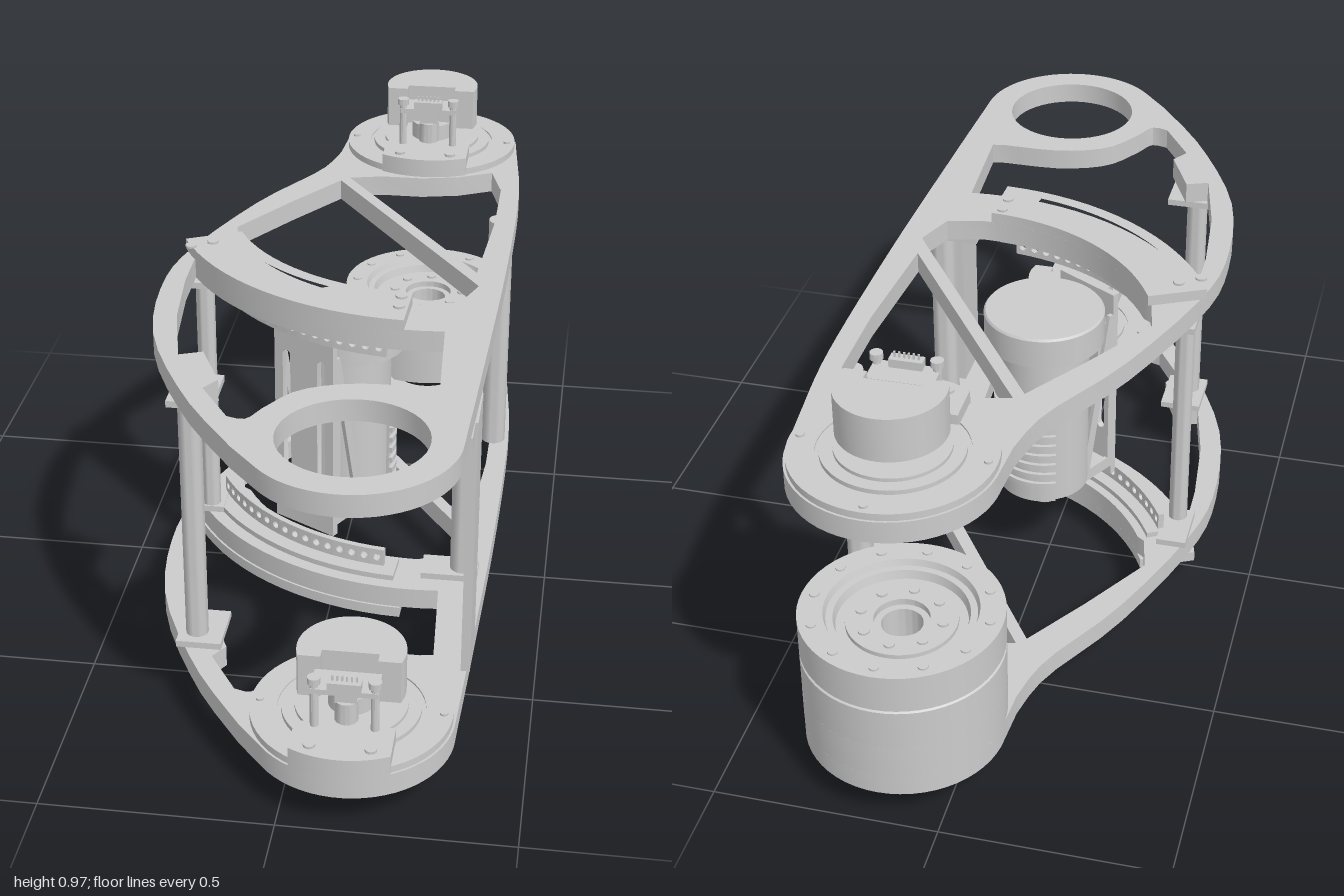
import * as THREE from 'three';
import { toCreasedNormals } from 'three/addons/utils/BufferGeometryUtils.js';

const material = new THREE.MeshStandardMaterial({ color: 0xcccccc });
const rad = THREE.MathUtils.degToRad;
const MID = 0.4575;                      // height of the mirror plane between the plates
const ARC = { x: 0.2, z: -0.33 };        // centre of the curved cross band
const BOSS = { x: 0.13, z: 0.78 };       // end bosses lie at +z and -z

function add(parent, name, geometry, x = 0, y = 0, z = 0) {
  const mesh = new THREE.Mesh(toCreasedNormals(geometry, 0.6), material);
  mesh.name = name;
  mesh.position.set(x, y, z);
  parent.add(mesh);
  return mesh;
}
const box = (p, name, w, h, d, x, y, z) => add(p, name, new THREE.BoxGeometry(w, h, d), x, y, z);
const rod = (p, name, r, y0, y1, x, z, sides = 32) =>
  add(p, name, new THREE.CylinderGeometry(r, r, y1 - y0, sides), x, (y0 + y1) / 2, z);
const lathe = (p, name, pts, x, y, z) =>
  add(p, name, new THREE.LatheGeometry(pts.map(q => new THREE.Vector2(...q)), 56), x, y, z);

// plan outline (x, z) raised from y0 to y1
function slab(p, name, shape, y0, y1, x = 0, z = 0) {
  const g = new THREE.ExtrudeGeometry(shape, { depth: y1 - y0, bevelEnabled: false, curveSegments: 32 });
  g.rotateX(Math.PI / 2);
  return add(p, name, g, x, y1, z);
}
// points on a circle in plan, angles in degrees from +x toward +z
function arc(cx, cz, r, a0, a1, n = 16) {
  return Array.from({ length: n + 1 }, (_, i) => {
    const a = rad(a0 + (a1 - a0) * i / n);
    return [cx + r * Math.cos(a), cz + r * Math.sin(a)];
  });
}
const vecs = pts => pts.map(q => new THREE.Vector2(...q));
const smooth = (pts, n = 24) => new THREE.SplineCurve(vecs(pts)).getPoints(n).map(v => [v.x, v.y]);
const shapeOf = (pts, holes = []) => {
  const s = new THREE.Shape(vecs(pts));
  s.holes = holes.map(h => new THREE.Path(vecs(h)));
  return s;
};
const band = (r0, r1, a0, a1) => [...arc(ARC.x, ARC.z, r0, a0, a1), ...arc(ARC.x, ARC.z, r1, a1, a0)];

// open frame plate with curved band and diagonal strut
function plate(p, name, y0, y1, rearHole) {
  const outline = [
    ...arc(BOSS.x, -BOSS.z, 0.22, -180, 0, 28),
    ...smooth([[0.36, -0.68], [0.377, -0.45], [0.375, 0], [0.36, 0.5], [0.352, 0.72]]),
    ...arc(BOSS.x, BOSS.z, 0.22, 0, 140, 24),
    ...smooth([[-0.1, 0.85], [-0.23, 0.66], [-0.35, 0.4], [-0.385, 0.15], [-0.36, -0.05],
      [-0.25, -0.35], [-0.13, -0.57], [-0.095, -0.7]]),
  ];
  const mainOpening = [[-0.07, -0.51], [-0.17, -0.36], [-0.275, -0.19], [-0.255, -0.1],
    ...arc(ARC.x, ARC.z, 0.5, 151, 90), [0.285, 0.15], [0.32, 0.06], [0.297, 0.025]];
  const rearOpening = [[-0.05, -0.53], [0.31, -0.01], [0.33, -0.3], [0.33, -0.5], [0.3, -0.61],
    [0.22, -0.57], [0.13, -0.55], [0.03, -0.55]];
  const frontOpening = [...arc(ARC.x, ARC.z, 0.63, 149, 84), [0.28, 0.55],
    ...smooth([[0.25, 0.555], [0.11, 0.558], [0, 0.6], [-0.06, 0.68], [-0.09, 0.735], [-0.13, 0.73]], 16),
    [-0.2, 0.62], [-0.175, 0.58], [-0.23, 0.46], [-0.28, 0.48], [-0.32, 0.3], [-0.338, 0.12]];
  slab(p, name, shapeOf(outline, [mainOpening, rearOpening, frontOpening,
    arc(BOSS.x, BOSS.z, 0.155, 0, 360, 48), arc(BOSS.x, -BOSS.z, rearHole, 0, 360, 48)]), y0, y1);
}

// bearing flange, shaft, cut-away cap and sensor board; origin on the plate top
function encoder(parent, name, y, z) {
  const g = new THREE.Group();
  g.name = name;
  g.position.set(BOSS.x, y, z);
  parent.add(g);
  lathe(g, 'flange', [[0, 0], [0.215, 0], [0.215, 0.016], [0.157, 0.016], [0.157, 0.012],
    [0.148, 0.012], [0.148, 0.022], [0.12, 0.022], [0.12, 0.03], [0, 0.03]], 0, 0, 0);
  lathe(g, 'bearingRing', [[0.09, -0.065], [0.14, -0.065], [0.14, 0], [0.09, 0], [0.09, -0.065]], 0, 0, 0);
  rod(g, 'shaft', 0.025, -0.135, 0.07, 0, 0);
  rod(g, 'stem', 0.05, 0.02, 0.07, 0, 0);
  const a = THREE.MathUtils.radToDeg(Math.acos(0.105 / 0.22));
  slab(g, 'mountingBlock', shapeOf([[0.105, 0.1], ...arc(0, 0, 0.22, a, 180 - a), [-0.105, 0.1]]), 0, 0.045);
  const b = THREE.MathUtils.radToDeg(Math.asin(0.04 / 0.115));
  slab(g, 'cap', shapeOf([...arc(0, 0, 0.115, 180 - b, 360 + b, 40), [0.06, 0.04], [0.06, 0.015],
    [-0.06, 0.015], [-0.06, 0.04]]), 0.065, 0.165);
  box(g, 'sensorBoard', 0.14, 0.012, 0.07, 0, 0.135, 0.085);
  box(g, 'connector', 0.07, 0.02, 0.025, 0, 0.15, 0.11);
  box(g, 'sensor', 0.045, 0.035, 0.03, 0, 0.11, 0.08);
  rod(g, 'magnetHolder', 0.025, 0.045, 0.095, 0, 0.08, 16);
  for (let i = 0; i < 6; i++) box(g, 'pin', 0.004, 0.015, 0.004, -0.025 + i * 0.01, 0.165, 0.11);
  for (const s of [-1, 1]) {
    rod(g, 'boardPost', 0.009, 0.04, 0.15, s * 0.063, 0.11, 12);
    rod(g, 'boardScrew', 0.014, 0.15, 0.165, s * 0.063, 0.11, 12);
    rod(g, 'blockScrew', 0.013, 0.045, 0.051, s * 0.063, 0.18, 12);
    rod(g, 'flangeScrew', 0.009, 0.016, 0.021, s * 0.195, 0, 12);
  }
  rod(g, 'flangeScrew', 0.009, 0.016, 0.021, 0, -0.195, 12);
}

export function createModel() {
  const model = new THREE.Group();

  plate(model, 'bottomPlate', 0.1, 0.15, 0.085);
  plate(model, 'topPlate', 0.765, 0.815, 0.155);
  encoder(model, 'frontEncoder', 0.15, BOSS.z);
  encoder(model, 'rearEncoder', 0.815, -BOSS.z);

  // parts repeated on both plates, mirrored about the middle height
  for (const s of [-1, 1]) {
    const span = (a, b) => s > 0 ? [a, b] : [2 * MID - b, 2 * MID - a];
    slab(model, 'curvedBracket', shapeOf(band(0.5, 0.635, 92, 154), [band(0.53, 0.605, 101, 140)]), ...span(0.815, 0.84));
    for (const [x, z] of [[-0.35, -0.01], [-0.305, -0.04], [0.16, 0.19], [0.16, 0.24]])
      rod(model, 'bracketScrew', 0.013, ...span(0.84, 0.845), x, z, 12);
    slab(model, 'railFoot', shapeOf(band(0.52, 0.6, 94, 152)), ...span(0.752, 0.765));
    // perforated rail, one short drilled link per hole
    const count = 17, step = 54 / count, w = 0.56 * rad(step) + 0.0015;
    for (let i = 0; i < count; i++) {
      const a = rad(97 + (i + 0.5) * step), h = 0.021;
      const link = shapeOf([[-w / 2, -h], [w / 2, -h], [w / 2, h], [-w / 2, h]], [arc(0, 0, 0.009, 0, 360, 12)]);
      const m = add(model, 'perforatedRail', new THREE.ExtrudeGeometry(link, { depth: 0.014, bevelEnabled: false }),
        ARC.x + 0.55 * Math.cos(a), MID + s * 0.273, ARC.z + 0.55 * Math.sin(a));
      m.rotation.y = Math.PI / 2 - a;
    }
    // post clamps
    const clamp = (w, d, x, z) => box(model, 'postClamp', w, 0.015, d, x, MID + s * 0.3, z);
    clamp(0.1, 0.13, -0.235, 0.53);
    clamp(0.07, 0.13, -0.32, -0.04);
    clamp(0.13, 0.08, 0.285, 0.21);
    // slab fillets
    const [f0, f1] = span(0.73, 0.765);
    if (s > 0) box(model, 'slabFoot', 0.02, f1 - f0, 0.07, 0.348, (f0 + f1) / 2, 0.63);
  }

  // posts and side slab joining the plates
  for (const [x, z, r] of [[-0.245, 0.55, 0.025], [-0.318, 0, 0.022], [0.315, 0.21, 0.03], [0.338, -0.435, 0.03]])
    rod(model, 'post', r, 0.15, 0.765, x, z, 24);
  box(model, 'sideSlab', 0.02, 0.615, 0.13, 0.354, MID, 0.535);

  // slotted motor panel with tapering braces
  const panel = new THREE.Group();
  panel.name = 'motorPanel';
  panel.position.set(-0.06, 0, 0.12);
  panel.rotation.y = -Math.PI / 6;
  model.add(panel);
  const slot = x => [...arc(x, 0.64, 0.011, 0, 180, 8), ...arc(x, 0.335, 0.011, 180, 360, 8)];
  const face = shapeOf([[-0.085, 0.2], [0.085, 0.2], [0.085, 0.712], [-0.085, 0.712]], [slot(-0.05), slot(0.05)]);
  add(panel, 'slottedFace', new THREE.ExtrudeGeometry(face, { depth: 0.016, bevelEnabled: false }));
  const brace = shapeOf([[0, 0.23], [0.1, 0.23], [0.1, 0.25], [0.012, 0.66], [0, 0.66]],
    [[[0.012, 0.255], [0.075, 0.255], [0.012, 0.56]]]);
  for (const x of [-0.085, 0.075]) {
    const g = new THREE.ExtrudeGeometry(brace, { depth: 0.01, bevelEnabled: false });
    g.rotateY(Math.PI / 2);
    add(panel, 'brace', g, x);
  }
  box(panel, 'motorShelf', 0.17, 0.014, 0.16, 0, 0.232, -0.07);

  // central motor with finned sleeve on its rear left side
  const mx = 0.013;
  lathe(model, 'motorBody', [[0, 0.165], [0.028, 0.165], [0.028, 0.19], [0.05, 0.19], [0.05, 0.23], [0.105, 0.23],
    [0.105, 0.63], [0.14, 0.63], [0.14, 0.7], [0.136, 0.705], [0, 0.705]], mx, 0, 0);
  const t0 = Math.PI * 0.4, tl = Math.PI * 0.75;
  const ringPart = (name, r, y0, y1) => slab(model, name, shapeOf([
    ...arc(0, 0, r, 18, -117, 24), ...arc(0, 0, 0.1, -117, 18, 24)]), y0, y1, mx, 0);
  ringPart('finSleeve', 0.111, 0.23, 0.51);
  for (let i = 0; i < 9; i++) ringPart('coolingFin', 0.12, 0.275 + i * 0.027, 0.288 + i * 0.027);

  // rear drive drum with recessed face, standing on a partial wall
  const z = -BOSS.z;
  lathe(model, 'driveDrum', [[0.045, 0.23], [0.22, 0.23], [0.22, 0.325], [0.216, 0.328], [0.216, 0.333],
    [0.22, 0.336], [0.22, 0.42], [0.165, 0.42], [0.16, 0.405], [0.145, 0.405], [0.14, 0.385], [0.12, 0.385],
    [0.12, 0.395], [0.06, 0.395], [0.06, 0.38], [0.045, 0.38], [0.045, 0.23]], BOSS.x, 0, z);
  slab(model, 'drumWall', shapeOf([...arc(0, 0, 0.22, 158 - 360, 22 - 360 + 360 - 360 + 360, 40),
    ...arc(0, 0, 0.185, 22, -202, 40)]), 0.15, 0.23, BOSS.x, z);
  lathe(model, 'drumHub', [[0.03, 0.17], [0.06, 0.17], [0.06, 0.23], [0.03, 0.23], [0.03, 0.17]], BOSS.x, 0, z);
  const boltCircle = (n, R, r, y0, y1) => arc(BOSS.x, z, R, 0, 360, n).slice(1)
    .forEach(([x, bz]) => rod(model, 'drumBolt', r, y0, y1, x, bz, 12));
  boltCircle(12, 0.192, 0.011, 0.41, 0.424);
  boltCircle(8, 0.09, 0.012, 0.385, 0.4);

  return model;
}
